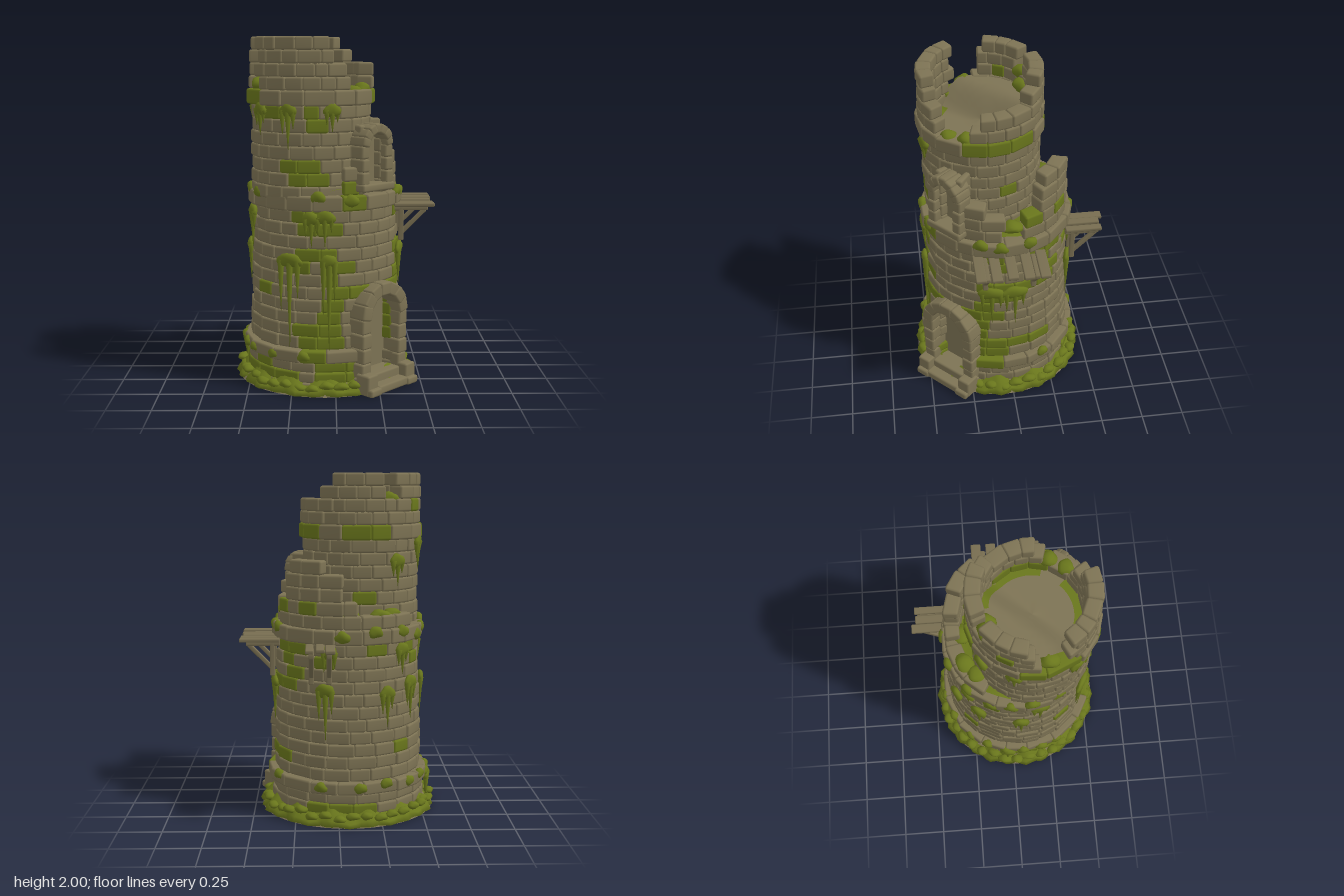
import * as THREE from 'three';
import { mergeGeometries, mergeVertices } from 'three/addons/utils/BufferGeometryUtils.js';
import { RoundedBoxGeometry } from 'three/addons/geometries/RoundedBoxGeometry.js';

const stone = new THREE.MeshStandardMaterial({ color: 0x7d7354 });
stone.name = 'stone';
const moss = new THREE.MeshStandardMaterial({ color: 0x69761c });
moss.name = 'moss';
const wood = new THREE.MeshStandardMaterial({ color: 0x776d50 });
wood.name = 'wood';

const MAIN = [-0.06, 0.045]; // centre of the main tower (x, z)
const TURRET = [-0.14, 0.12]; // centre of the upper turret
const rad = THREE.MathUtils.degToRad;

export function createModel() {
  let seed = 7;
  const rnd = () => (seed = (seed * 16807) % 2147483647) / 2147483647;
  const vary = (s) => (rnd() - 0.5) * 2 * s;
  const parts = new Map();

  // Collect geometry per part and colour; weld gives smooth normals
  function add(name, mat, g, weld = true) {
    g.deleteAttribute('uv');
    if (weld) {
      g.deleteAttribute('normal');
      g = mergeVertices(g);
      g.computeVertexNormals();
    }
    const key = name + mat.name;
    if (!parts.has(key)) parts.set(key, { name, mat, list: [] });
    parts.get(key).list.push(g);
  }
  const block = (w, h, d, r = 0.012) => new RoundedBoxGeometry(w, h, d, 1, Math.min(r, w / 3, h / 3, d / 3));
  // Turn local z outward to an angle (0 = +x, 90 = front) and move to a centre
  const place = (g, c, deg, dist = 0, y = 0) =>
    g.translate(0, y, dist).rotateY(Math.PI / 2 - rad(deg)).translate(c[0], 0, c[1]);

  // Block bent round a centre
  function brick(c, r0, r1, a0, a1, y0, y1) {
    const rm = (r0 + r1) / 2, mid = rad((a0 + a1) / 2);
    const g = block(r1 * rad(a1 - a0) + 0.002, y1 - y0 + 0.002, r1 - r0, 0.013);
    const p = g.attributes.position;
    for (let i = 0; i < p.count; i++) {
      const a = mid - p.getX(i) / r1, r = rm + p.getZ(i);
      p.setXYZ(i, c[0] + r * Math.cos(a), p.getY(i) + (y0 + y1) / 2, c[1] + r * Math.sin(a));
    }
    return g;
  }

  // Mossy wall areas: start angle, end angle, low y, high y
  const patches = [[74, 92, 0.25, 0.82], [85, 118, 0.25, 0.36], [96, 122, 0.7, 0.8], [84, 112, 0.9, 1.04],
    [5, 28, 0.25, 0.66], [-18, 24, 0.68, 0.82], [-45, -25, 0.85, 1.04], [80, 118, 1.2, 1.33],
    [75, 95, 1.5, 1.62], [120, 150, 1.55, 1.62], [200, 215, 0.9, 1.04], [250, 262, 1.4, 1.5],
    [325, 350, 0.3, 0.42], [-8, 12, 0.88, 1.04], [66, 100, 0, 0.18], [110, 175, 0, 0.12], [255, 300, 0, 0.1]];
  const mossy = (a, y) => patches.some(([a0, a1, y0, y1]) =>
    y > y0 && y < y1 && [0, 360, -360].some((k) => a + k > a0 && a + k < a1));

  // One ring of bricks; top(angle) limits the ruined height
  function course(name, c, r0, r1, y0, y1, n, from = 0, to = 360, top = null, mossChance = 0.02) {
    const cuts = [];
    for (let i = 0; i <= n; i++) cuts.push(from + ((to - from) * (i + (i % n ? vary(0.2) : 0))) / n);
    for (let i = 0; i < n; i++) {
      const mid = (((cuts[i] + cuts[i + 1]) / 2) + 720) % 360, y = (y0 + y1) / 2;
      if (top && top(mid) < y) continue;
      const mat = mossy(mid, y) || rnd() < mossChance ? moss : stone;
      add(name, mat, brick(c, r0, r1 + vary(0.005), cuts[i], cuts[i + 1], y0, y1));
    }
  }
  const steps = (list) => (a) => list.find(([end]) => a <= end)[1];
  const mainTop = steps([[14, 1.25], [33, 1.36], [62, 1.5], [75, 1.3], [215, 1.1], [262, 1.2], [275, 1.28],
    [288, 1.4], [323, 1.52], [335, 1.37], [346, 1.26], [360, 1.16]]);
  const turretTop = steps([[10, 1.86], [58, 1.72], [72, 1.82], [150, 2], [183, 1.72], [230, 2],
    [247, 1.84], [295, 2.02], [306, 1.93], [360, 1.87]]);

  // Solid cores behind the bricks
  const core = (name, c, r, y0, y1) =>
    add(name, stone, new THREE.CylinderGeometry(r, r, y1 - y0, 40).translate(c[0], (y0 + y1) / 2, c[1]), false);
  core('towerCore', MAIN, 0.37, 0.01, 1.12);
  core('turretCore', TURRET, 0.3, 1.05, 1.6);
  add('foundation', stone, new THREE.CylinderGeometry(0.46, 0.52, 0.06, 48).translate(MAIN[0], 0.03, MAIN[1]), false);

  // Main tower courses, left open at the doorway
  for (let i = 0; i < 3; i++) course('baseWall', MAIN, 0.35, 0.47 - i * 0.006, i * 0.06, (i + 1) * 0.06, 19, 60, 390);
  course('lowerBand', MAIN, 0.36, 0.485, 0.18, 0.25, 15, 66, 384, null, 0.35);
  for (let i = 0; i < 11; i++) {
    const y = 0.25 + i * 0.072, off = (i % 2) * 9, open = y < 0.52;
    course('mainWall', MAIN, 0.35, 0.445 - i * 0.0022, y, y + 0.072, open ? 19 : 21,
      open ? 60 : off, open ? 390 : off + 360);
  }
  course('middleBand', MAIN, 0.33, 0.45, 1.04, 1.125, 18, 0, 360, null, 0.3);

  // Ruined upper shell, left open at the window
  for (let i = 0; i < 5; i++) {
    const y = 1.125 + i * 0.077;
    course('ruinedShell', MAIN, 0.33, 0.42, y, y + 0.077, 20, 62, 394, mainTop, 0.06);
    for (const [a, b] of [[34, 40], [56, 62]]) add('ruinedShell', stone, brick(MAIN, 0.3, 0.41, a, b, y, y + 0.077));
  }

  // Turret with its band and broken battlements
  for (let i = 0; i < 7; i++)
    course('turretWall', TURRET, 0.27, 0.345, 1.1 + i * 0.0745, 1.175 + i * 0.0745, 18, (i % 2) * 10, (i % 2) * 10 + 360);
  course('turretBand', TURRET, 0.27, 0.372, 1.62, 1.705, 15, 0, 360, null, 0.25);
  for (let i = 0; i < 4; i++)
    course('battlements', TURRET, 0.268, 0.36 - i * 0.002, 1.705 + i * 0.073, 1.778 + i * 0.073, 22, i % 2 * 6, 360 + i % 2 * 6, turretTop, 0.03);

  // Sloping floors; angles follow the wall convention
  function floor(name, mat, c, r0, r1, a0, a1, height) {
    const g = new THREE.RingGeometry(r0, r1, 36, 6, -rad(a1), rad(a1 - a0)).rotateX(-Math.PI / 2);
    const p = g.attributes.position;
    for (let i = 0; i < p.count; i++) p.setY(i, height(p.getX(i), p.getZ(i)));
    add(name, mat, g.translate(c[0], 0, c[1]));
  }
  const dune = (x, z) => 1.63 + 0.14 * THREE.MathUtils.smoothstep(-x - z * 0.9, -0.05, 0.2);
  floor('turretFloor', stone, TURRET, 0.001, 0.29, 0, 360, dune);
  floor('turretFloorMoss', moss, TURRET, 0.225, 0.29, 45, 130, (x, z) => dune(x, z) + 0.005);
  floor('turretFloorMoss', moss, TURRET, 0.23, 0.29, 270, 375, (x, z) => dune(x, z) + 0.005);
  floor('terraceFloor', moss, MAIN, 0.001, 0.4, 0, 360, (x, z) => 1.145 + 0.015 * Math.sin(x * 20) * Math.cos(z * 17));

  // Arched opening: jamb stones, arch stones and a recessed back
  function arch(name, deg, dist, half, thick, base, spring, depth, n) {
    const mid = half + thick / 2, h = (spring - base) / n;
    for (const s of [-1, 1])
      for (let i = 0; i < n; i++)
        add(name, stone, place(block(thick + vary(0.006), h, depth + vary(0.01)).translate(s * mid, 0, 0), MAIN, deg, dist, base + h * (i + 0.5)));
    for (let i = 0; i < 7; i++) {
      const t = ((i + 0.5) / 7 - 0.5) * Math.PI;
      const g = block((mid + thick / 2) * Math.PI / 7, thick, depth + 0.015 + vary(0.008)).translate(0, mid, 0).rotateZ(t);
      add(name, stone, place(g, MAIN, deg, dist, spring));
    }
    add(name + 'Back', stone, place(block(half * 2 + 0.02, spring + half - base, 0.03), MAIN, deg, dist - depth / 2, (base + spring + half) / 2));
  }
  arch('doorArch', 45, 0.425, 0.115, 0.075, 0, 0.43, 0.13, 5);
  arch('windowArch', 48, 0.395, 0.065, 0.055, 1.18, 1.4, 0.1, 3);
  add('windowSill', stone, place(block(0.25, 0.045, 0.12), MAIN, 48, 0.4, 1.165));
  add('doorStep', stone, place(block(0.25, 0.05, 0.2), MAIN, 45, 0.46, 0.025));
  add('doorStep', stone, place(block(0.25, 0.1, 0.13), MAIN, 45, 0.43, 0.05));
  for (const s of [-1, 1]) {
    add('doorFootStone', stone, place(block(0.085, 0.12, 0.1).translate(s * 0.16, 0, 0), MAIN, 45, 0.495, 0.06));
    add('doorFootStone', stone, place(block(0.09, 0.045, 0.06).translate(s * 0.155, 0, 0), MAIN, 45, 0.54, 0.022));
  }

  // Wooden platforms on braced posts
  function platform(c, deg, planks, braces) {
    for (const [x, end, w] of planks)
      add('platformPlank', wood, place(block(w, 0.022, end - 0.34, 0.006).translate(x, 0, (end + 0.34) / 2), c, deg, 0, 1.035 + vary(0.004)));
    for (const x of braces) {
      add('platformBrace', wood, place(block(0.03, 0.2, 0.03, 0.006).translate(x, 0.92, 0.385), c, deg));
      add('platformBrace', wood, place(block(0.03, 0.025, 0.2, 0.006).translate(x, 1.01, 0.44), c, deg));
      add('platformBrace', wood, place(block(0.026, 0.21, 0.026, 0.006).rotateX(0.78).translate(x, 0.93, 0.45), c, deg));
    }
  }
  platform([0, 0.02], 0, [-0.18, -0.09, 0, 0.09, 0.18].map((x, i) => [x, i === 2 ? 0.565 : 0.575, 0.06]), [-0.14, 0.14]);
  platform([0.105, 0], 270, [[-0.06, 0.555, 0.045], [0, 0.55, 0.05], [0.055, 0.575, 0.055]], [-0.05, 0.05]);

  // Lumpy moss cushions
  function lump(name, c, deg, dist, y, w, h, d) {
    const g = mergeVertices(new THREE.IcosahedronGeometry(1, 2).deleteAttribute('uv').deleteAttribute('normal'));
    const p = g.attributes.position, k = rnd() * 9;
    for (let i = 0; i < p.count; i++) {
      const s = 1 + 0.15 * Math.sin(p.getX(i) * 4 + k) * Math.cos(p.getY(i) * 3 - k);
      p.setXYZ(i, p.getX(i) * s * w, p.getY(i) * s * h, p.getZ(i) * s * d);
    }
    add(name, moss, place(g, c, deg, dist, y));
  }

  // Moss skirt round the foot
  const skirt = new THREE.LatheGeometry([[0.5, 0], [0.525, 0.005], [0.51, 0.03], [0.48, 0.06], [0.44, 0.09]]
    .map(([x, y]) => new THREE.Vector2(x, y)), 96);
  const sp = skirt.attributes.position;
  for (let i = 0; i < sp.count; i++) {
    const a = Math.atan2(sp.getZ(i), sp.getX(i)), s = 1 + 0.018 * Math.sin(a * 27) + 0.01 * Math.sin(a * 11);
    sp.setXYZ(i, sp.getX(i) * s, sp.getY(i) * (1 + 0.25 * Math.sin(a * 13)), sp.getZ(i) * s);
  }
  add('mossSkirt', moss, skirt.translate(MAIN[0], 0, MAIN[1]));
  for (let i = 0; i < 34; i++) {
    const a = 70 + i * 9.4;
    lump('mossClump', MAIN, a, 0.49 + vary(0.012), 0.035 + rnd() * 0.04, 0.035 + rnd() * 0.012, 0.022, 0.03);
  }
  // Moss growing over the bands
  for (const a of [105, 128, 150, 163, 178, 192, 207, 222, 243, 262, 290, 330])
    lump('bandMoss', MAIN, a, 0.475, 0.225 + vary(0.02), 0.04, 0.03, 0.025);
  for (const a of [3, 18, 70, 95, 150, 172, 188, 204, 225, 250, 275, 340])
    lump('bandMoss', MAIN, a, 0.435, 1.1 + vary(0.03), 0.045, 0.035, 0.025);
  // Tufts on the battlements and terrace: angle, distance, height
  for (const [a, d, y] of [[167, 0.3, 1.73], [238, 0.3, 1.85], [250, 0.26, 1.8], [40, 0.31, 1.69], [20, 0.31, 1.7]])
    lump('battlementMoss', TURRET, a, d, y, 0.055, 0.04, 0.045);
  for (const [a, d] of [[352, 0.37], [240, 0.36], [270, 0.32], [225, 0.35]])
    lump('terraceMoss', MAIN, a, d, 1.2, 0.06, 0.03, 0.05);

  // Hanging moss: centre, angle, wall radius, height, width, longest strand
  const hangs = [[MAIN, 117, 0.435, 0.76, 0.085, 0.5], [MAIN, 87, 0.435, 0.76, 0.05, 0.52], [MAIN, 90, 0.43, 1.01, 0.06, 0.15],
    [MAIN, 100, 0.43, 1.0, 0.05, 0.14], [MAIN, 165, 0.43, 1.0, 0.06, 0.2], [MAIN, 180, 0.435, 0.78, 0.05, 0.2],
    [MAIN, 10, 0.435, 0.77, 0.085, 0.2], [MAIN, -8, 0.435, 0.77, 0.08, 0.22], [MAIN, -72, 0.435, 0.78, 0.06, 0.28],
    [MAIN, 215, 0.435, 0.8, 0.055, 0.2], [MAIN, 240, 0.435, 0.76, 0.05, 0.18], [MAIN, 225, 0.43, 1.0, 0.05, 0.12],
    [MAIN, 285, 0.43, 1.0, 0.05, 0.16], [MAIN, 190, 0.48, 0.19, 0.05, 0.16], [TURRET, 110, 0.35, 1.6, 0.05, 0.2],
    [TURRET, 142, 0.35, 1.6, 0.05, 0.12], [TURRET, 70, 0.35, 1.6, 0.05, 0.1], [TURRET, 235, 0.35, 1.5, 0.05, 0.12],
    [TURRET, 200, 0.35, 1.6, 0.045, 0.14]];
  for (const [c, a, r, y, w, len] of hangs) {
    lump('hangingMoss', c, a, r + 0.005, y, w, 0.04, 0.022);
    [-0.65, 0, 0.6].forEach((k, i) => {
      const l = len * [0.55, 1, 0.4][i] + 0.03;
      const g = new THREE.ConeGeometry(0.02, l, 7, 3).rotateX(Math.PI).translate(k * w, -l / 2, 0);
      add('hangingMoss', moss, place(g, c, a, r + 0.006, y));
    });
  }

  const group = new THREE.Group();
  group.name = 'ruinedTower';
  for (const { name, mat, list } of parts.values()) {
    const mesh = new THREE.Mesh(mergeGeometries(list), mat);
    mesh.name = mat === moss && !/moss/i.test(name) ? name + 'MossyStones' : name;
    group.add(mesh);
  }
  return group;
}
